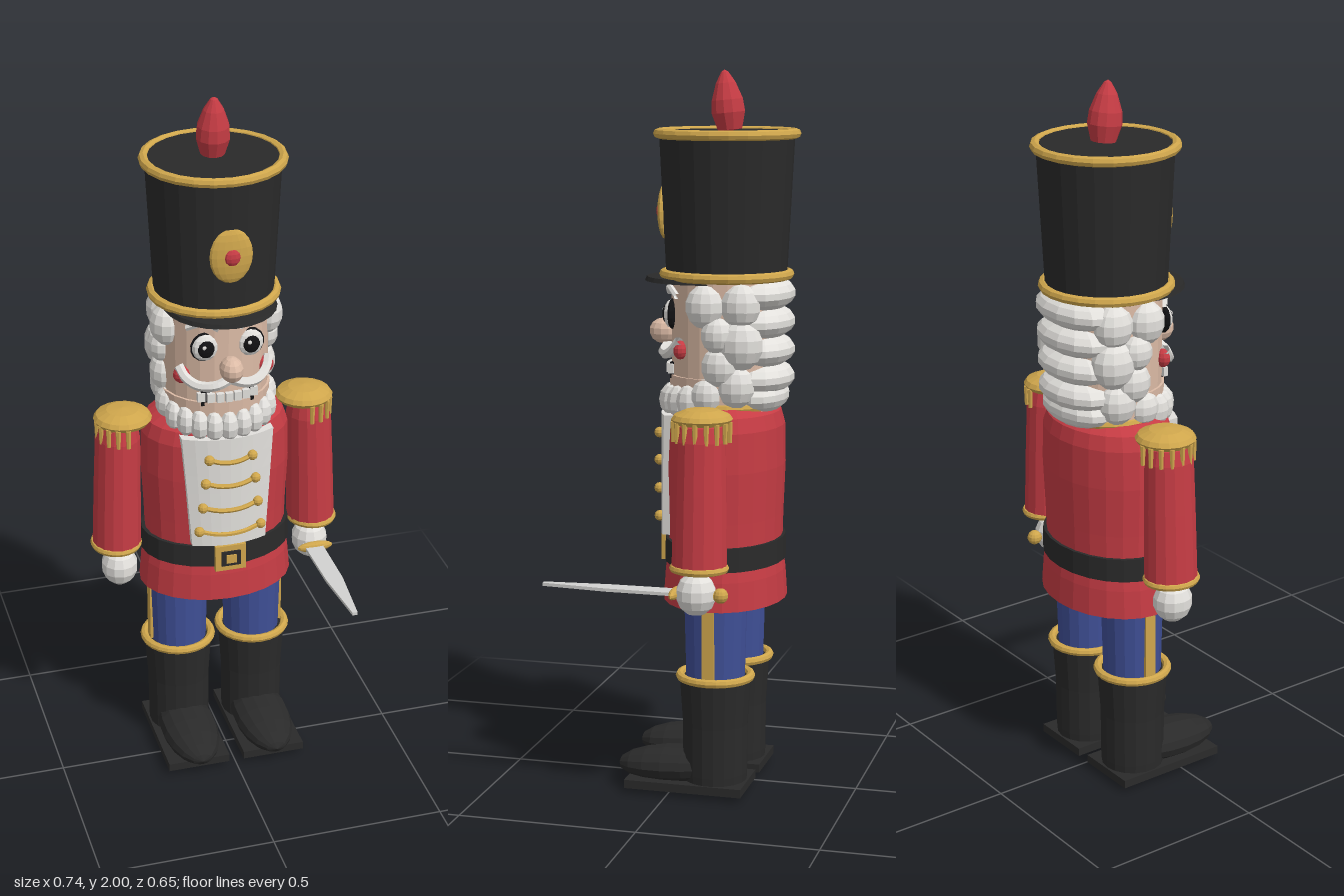
import * as THREE from 'three';

const paint = (name, color) => new THREE.MeshStandardMaterial({ name, color, flatShading: true, side: THREE.DoubleSide });
const M = {
  red: paint('coat red', 0xc63c44), black: paint('black', 0x2a2a2a), gold: paint('gold', 0xcfa64c),
  white: paint('white', 0xe2e0dc), blue: paint('trouser blue', 0x3f4f96), skin: paint('skin', 0xdcbba6),
  steel: paint('steel', 0xd2d2d0), dark: paint('pupil black', 0x121214),
};
const CZ = -0.12; // depth of the central axis

export function createModel() {
  const model = new THREE.Group();
  model.name = 'toySoldier';

  const add = (name, geo, mat, x = 0, y = 0, z = 0, parent = model) => {
    const m = new THREE.Mesh(geo, mat);
    m.name = name;
    m.position.set(x, y, z);
    parent.add(m);
    return m;
  };
  const ball = (name, mat, x, y, z, rx, ry = rx, rz = rx, seg = 12) => {
    const m = add(name, new THREE.SphereGeometry(1, seg, Math.max(6, seg * 0.65 | 0)), mat, x, y, z);
    m.scale.set(rx, ry, rz);
    return m;
  };
  const lathe = (pts, seg = 24) => new THREE.LatheGeometry(pts.map(p => new THREE.Vector2(...p)), seg);
  const ring = (name, r, tube, x, y, z, sz = 1) => {
    const geo = new THREE.TorusGeometry(r, tube, 8, 24).rotateX(Math.PI / 2).scale(1, 1, sz);
    return add(name, geo, M.gold, x, y, z);
  };
  const tube = (name, pts, r, mat, seg = 10) => add(name, new THREE.TubeGeometry(
    new THREE.CatmullRomCurve3(pts.map(p => new THREE.Vector3(...p))), seg, r, 6), mat);
  const chestZ = x => CZ + 0.162 * Math.sqrt(1 - (x / 0.215) ** 2);
  const faceZ = x => CZ + Math.sqrt(0.152 ** 2 - x * x);

  // Coat and belt
  const coat = lathe([[0, 0.55], [0.224, 0.54], [0.217, 0.62], [0.205, 0.68], [0.208, 0.78], [0.215, 0.92],
    [0.212, 1.03], [0.198, 1.07], [0.165, 1.09], [0, 1.09]]).scale(1, 1, 0.76);
  add('coat', coat, M.red, 0, 0, CZ);
  add('belt', new THREE.CylinderGeometry(0.217, 0.219, 0.066, 24).scale(1, 1, 0.76), M.black, 0, 0.683, CZ);
  ring('collar', 0.145, 0.014, 0, 1.09, CZ, 0.95);
  add('buckle', new THREE.BoxGeometry(0.09, 0.08, 0.02), M.gold, 0, 0.68, 0.046);
  add('buckleInset', new THREE.BoxGeometry(0.056, 0.046, 0.006), M.black, 0, 0.68, 0.058);
  add('bucklePin', new THREE.BoxGeometry(0.03, 0.026, 0.006), M.gold, 0, 0.68, 0.062);

  // Shirt front, bent round the chest and wider at the top
  const shirt = new THREE.BoxGeometry(0.24, 0.34, 0.03, 8, 6, 1);
  const p = shirt.attributes.position;
  for (let i = 0; i < p.count; i++) {
    const x = p.getX(i) * (1 + p.getY(i) * 0.6);
    p.setXYZ(i, x, p.getY(i), p.getZ(i) + chestZ(x));
  }
  shirt.computeVertexNormals();
  add('shirtFront', shirt, M.white, 0, 0.895, 0);

  // Braid across the shirt
  [[1.005, 0.062], [0.93, 0.072], [0.852, 0.08], [0.775, 0.09]].forEach(([y, w]) => {
    const pt = (x, dy) => [x, y + dy, chestZ(x) + 0.018];
    tube('braid', [pt(-w, 0), pt(-w / 2, -0.01), pt(0, -0.013), pt(w / 2, -0.01), pt(w, 0)], 0.007, M.gold);
    for (const s of [-1, 1]) ball('braidButton', M.gold, s * w, y, chestZ(w) + 0.02, 0.015, 0.015, 0.015, 10);
  });

  for (const s of [-1, 1]) {
    // Arms, epaulettes and hands
    const arm = add('arm', lathe([[0, -0.2], [0.07, -0.2], [0.067, 0], [0.064, 0.14], [0.056, 0.18], [0, 0.2]], 16)
      .scale(1, 1, 1.08), M.red, s * 0.286, 0.885, CZ);
    arm.rotation.z = s * 0.03;
    ring('cuff', 0.063, 0.011, s * 0.294, 0.682, CZ, 1.1);
    ball('hand', M.white, s * 0.288, 0.608, CZ + 0.01, 0.053, 0.06, 0.056, 12);
    add('epaulette', lathe([[0, -0.012], [0.075, -0.012], [0.083, 0], [0.075, 0.012], [0.045, 0.025], [0, 0.03]], 18),
      M.gold, s * 0.266, 1.083, CZ);
    for (let i = 0; i < 9; i++) {
      const a = -Math.PI / 2 + (i / 8) * Math.PI;
      add('fringe', new THREE.CylinderGeometry(0.008, 0.006, 0.055, 6), M.gold,
        s * (0.268 + 0.072 * Math.cos(a)), 1.05, CZ + 0.077 * Math.sin(a));
    }

    // Legs and boots
    add('trouserLeg', new THREE.CylinderGeometry(0.088, 0.082, 0.24, 18), M.blue, s * 0.112, 0.45, CZ);
    add('trouserStripe', new THREE.BoxGeometry(0.008, 0.22, 0.034), M.gold, s * 0.197, 0.45, CZ);
    add('bootShaft', lathe([[0, 0], [0.088, 0.018], [0.09, 0.06], [0.091, 0.2], [0.1, 0.335], [0, 0.335]], 18),
      M.black, s * 0.113, 0, CZ);
    ring('bootTrim', 0.099, 0.012, s * 0.114, 0.336, CZ);
    const foot = add('bootFoot', new THREE.SphereGeometry(1, 14, 9).rotateX(Math.PI / 2).scale(0.084, 0.052, 0.17),
      M.black, s * 0.113, 0.07, -0.008);
    foot.rotation.x = 0.06;
    add('bootSole', new THREE.BoxGeometry(0.184, 0.024, 0.335), M.black, s * 0.114, 0.026, -0.047);

    // Face, one side
    const ex = s * 0.064;
    ball('eyeRim', M.dark, ex, 1.338, faceZ(0.064) - 0.002, 0.041, 0.043, 0.014);
    ball('eye', M.white, ex, 1.338, faceZ(0.064) + 0.004, 0.037, 0.039, 0.018);
    ball('pupil', M.dark, ex, 1.338, faceZ(0.064) + 0.016, 0.024, 0.026, 0.011);
    ball('eyeGlint', M.white, ex - 0.008, 1.348, faceZ(0.064) + 0.027, 0.006, 0.006, 0.003, 8);
    tube('eyebrow', [[s * 0.03, 1.395, faceZ(0.03) + 0.006], [s * 0.065, 1.412, faceZ(0.065) + 0.008],
      [s * 0.108, 1.39, faceZ(0.108) + 0.006]], 0.009, M.white);
    ball('cheek', M.red, s * 0.118, 1.245, faceZ(0.118) + 0.004, 0.026, 0.026, 0.02);
    tube('moustache', [[0, 1.246, 0.047], [s * 0.04, 1.232, 0.05], [s * 0.085, 1.228, 0.028],
      [s * 0.115, 1.245, 0.002], [s * 0.128, 1.272, -0.02]], 0.014, M.white, 14);

    // Side curls: height, depth, radius, offset from the middle
    [[1.368, -0.095, 0.055, 0.143], [1.37, -0.19, 0.056, 0.128], [1.292, -0.13, 0.045, 0.15], [1.265, -0.19, 0.064, 0.128],
      [1.205, -0.135, 0.052, 0.138], [1.15, -0.175, 0.055, 0.125], [1.125, -0.1, 0.045, 0.138]]
      .forEach(([y, z, r, x]) => ball('sideCurl', M.white, s * x, y, z, r * 0.85, r * 1.1, r));
  }

  // Head, nose and mouth
  add('head', new THREE.CylinderGeometry(0.152, 0.15, 0.37, 24), M.skin, 0, 1.265, CZ);
  ball('nose', M.skin, 0, 1.282, 0.06, 0.033, 0.036, 0.042);
  add('mouth', new THREE.BoxGeometry(0.15, 0.045, 0.03), M.dark, 0, 1.182, 0.006);
  for (let i = 0; i < 7; i++) {
    const x = (i - 3) * 0.025;
    add('tooth', new THREE.BoxGeometry(0.021, 0.026, 0.014), M.white, x, 1.187, faceZ(x) + 0.005);
  }
  add('jaw', new THREE.CylinderGeometry(0.157, 0.155, 0.06, 24, 1, false), M.skin, 0, 1.14, CZ);

  // Beard curls round the chin
  for (let i = 0; i < 9; i++) {
    const a = (i - 4) * 0.27;
    ball('beardCurl', M.white, 0.152 * Math.sin(a), 1.095 + 0.022 * (1 - Math.cos(a)), CZ + 0.152 * Math.cos(a),
      0.027, 0.046, 0.036, 10);
  }

  // Rolls of hair behind the head
  [1.395, 1.318, 1.24, 1.165, 1.115].forEach((y, i) =>
    ball('backCurl', M.white, 0, y, -0.222, 0.148 - 0.004 * i, 0.05, 0.088 - (i === 4 ? 0.015 : 0), 14));

  // Tall hat
  add('hat', new THREE.CylinderGeometry(0.186, 0.166, 0.4, 24), M.black, 0, 1.635, CZ);
  ring('hatTopTrim', 0.188, 0.014, 0, 1.828, CZ);
  ring('hatBaseTrim', 0.172, 0.014, 0, 1.446, CZ);
  add('visor', new THREE.CylinderGeometry(0.16, 0.165, 0.012, 24).scale(0.95, 1, 1), M.black, 0, 1.432, -0.057);
  ball('badge', M.gold, 0, 1.615, 0.055, 0.06, 0.078, 0.016, 16);
  ball('badgeGem', M.red, 0, 1.615, 0.068, 0.023, 0.024, 0.012, 10);
  const plume = add('plume', lathe([[0, 0], [0.034, 0.004], [0.047, 0.05], [0.044, 0.085], [0.028, 0.13], [0.01, 0.16],
    [0, 0.166]], 12), M.red, 0, 1.834, -0.128);
  plume.rotation.x = 0.1;

  // Sabre held in the left hand
  const blade = new THREE.Shape();
  blade.moveTo(-0.027, -0.08);
  blade.lineTo(0.027, -0.08);
  blade.lineTo(0.026, 0.14);
  blade.lineTo(0.008, 0.325);
  blade.lineTo(-0.007, 0.325);
  blade.lineTo(-0.024, 0.14);
  add('blade', new THREE.ExtrudeGeometry(blade, { depth: 0.009, bevelEnabled: false }).rotateX(Math.PI / 2),
    M.steel, 0.283, 0.612, 0);
  ball('guard', M.gold, 0.288, 0.607, -0.052, 0.054, 0.016, 0.014);
  add('grip', new THREE.CylinderGeometry(0.014, 0.014, 0.13, 10).rotateX(Math.PI / 2), M.gold, 0.288, 0.607, -0.11);
  ball('pommel', M.gold, 0.288, 0.607, -0.178, 0.021);

  return model;
}
